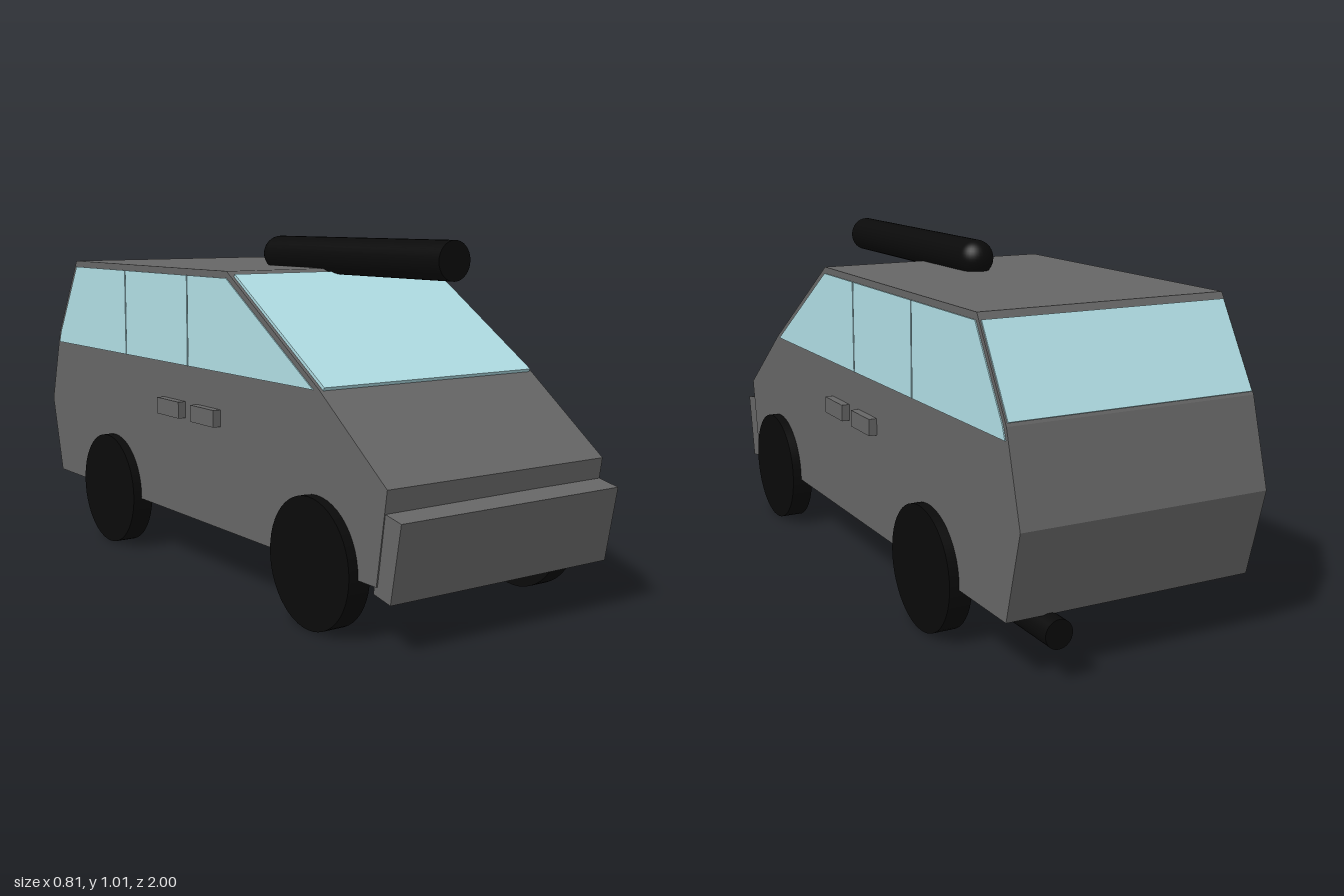
import * as THREE from 'three';

const paint = new THREE.MeshStandardMaterial({ color: 0x666666 });
const glass = new THREE.MeshStandardMaterial({ color: 0xb0dde4 });
const black = new THREE.MeshStandardMaterial({ color: 0x0a0a0a });

export function createModel() {
  const model = new THREE.Group();

  function add(name, geometry, material, x = 0, y = 0, z = 0) {
    const mesh = new THREE.Mesh(geometry, material);
    mesh.name = name;
    mesh.position.set(x, y, z);
    model.add(mesh);
    return mesh;
  }

  // Side profile of [z, y] points, extruded across x and centred
  function prism(points, width) {
    const shape = new THREE.Shape(points.map(([z, y]) => new THREE.Vector2(z, y)));
    return new THREE.ExtrudeGeometry(shape, { depth: width, bevelEnabled: false })
      .rotateY(-Math.PI / 2).translate(width / 2, 0, 0);
  }

  // Thin pane lying on the line between two profile points
  function pane([z0, y0], [z1, y1], width) {
    const n = new THREE.Vector2(y0 - y1, z1 - z0).normalize().multiplyScalar(0.006);
    if (n.y < 0) n.negate();
    return prism([[z0 - n.x, y0 - n.y], [z1 - n.x, y1 - n.y],
      [z1 + n.x, y1 + n.y], [z0 + n.x, y0 + n.y]], width);
  }

  // Body shell
  add('body', prism([
    [0.90, 0.173], [0.94, 0.425], [0.655, 0.638], [0.205, 0.925],
    [-0.78, 0.925], [-0.93, 0.67], [-1.0, 0.425], [-0.935, 0.173],
  ], 0.75), paint);

  // Front bumper, slightly crooked
  const bumper = add('frontBumper', new THREE.BoxGeometry(0.744, 0.216, 0.07), paint, 0, 0.253, 0.943);
  bumper.rotation.set(0.19, -0.012, 0.007);

  // Windscreen and rear window
  add('windscreen', pane([0.662, 0.638], [0.23, 0.912], 0.73), glass);
  add('rearWindow', pane([-0.79, 0.905], [-0.924, 0.677], 0.74), glass);

  // Side windows in three panes per side
  const sidePanes = {
    frontSideWindow: [[0.632, 0.635], [-0.013, 0.635], [-0.013, 0.905], [0.205, 0.905]],
    middleSideWindow: [[-0.018, 0.635], [-0.411, 0.635], [-0.411, 0.905], [-0.018, 0.905]],
    rearSideWindow: [[-0.416, 0.635], [-0.928, 0.635], [-0.915, 0.67], [-0.775, 0.905], [-0.416, 0.905]],
  };
  for (const side of [-1, 1]) {
    for (const [name, points] of Object.entries(sidePanes)) {
      add(name, prism(points, 0.012), glass, side * 0.372);
    }
    // Door handles
    for (const z of [0.1, -0.103]) {
      add('doorHandle', new THREE.BoxGeometry(0.05, 0.05, 0.133), paint, side * 0.375, 0.5, z);
    }
    // Wheels
    for (const z of [0.647, -0.508]) {
      add('wheel', new THREE.CylinderGeometry(0.179, 0.179, 0.067, 48).rotateZ(Math.PI / 2),
        black, side * 0.37, 0.181, z);
    }
  }

  // Exhaust pipe
  add('exhaustPipe', new THREE.CylinderGeometry(0.04, 0.04, 0.34, 32).rotateX(Math.PI / 2),
    black, 0.25, 0.137, -0.813);

  // Roof tube with its ball end
  add('roofTube', new THREE.CylinderGeometry(0.055, 0.055, 0.82, 32).rotateX(Math.PI / 2),
    black, 0, 0.962, 0.335);
  add('roofBall', new THREE.SphereGeometry(0.055, 32, 20), black, 0, 0.962, -0.075);

  return model;
}
